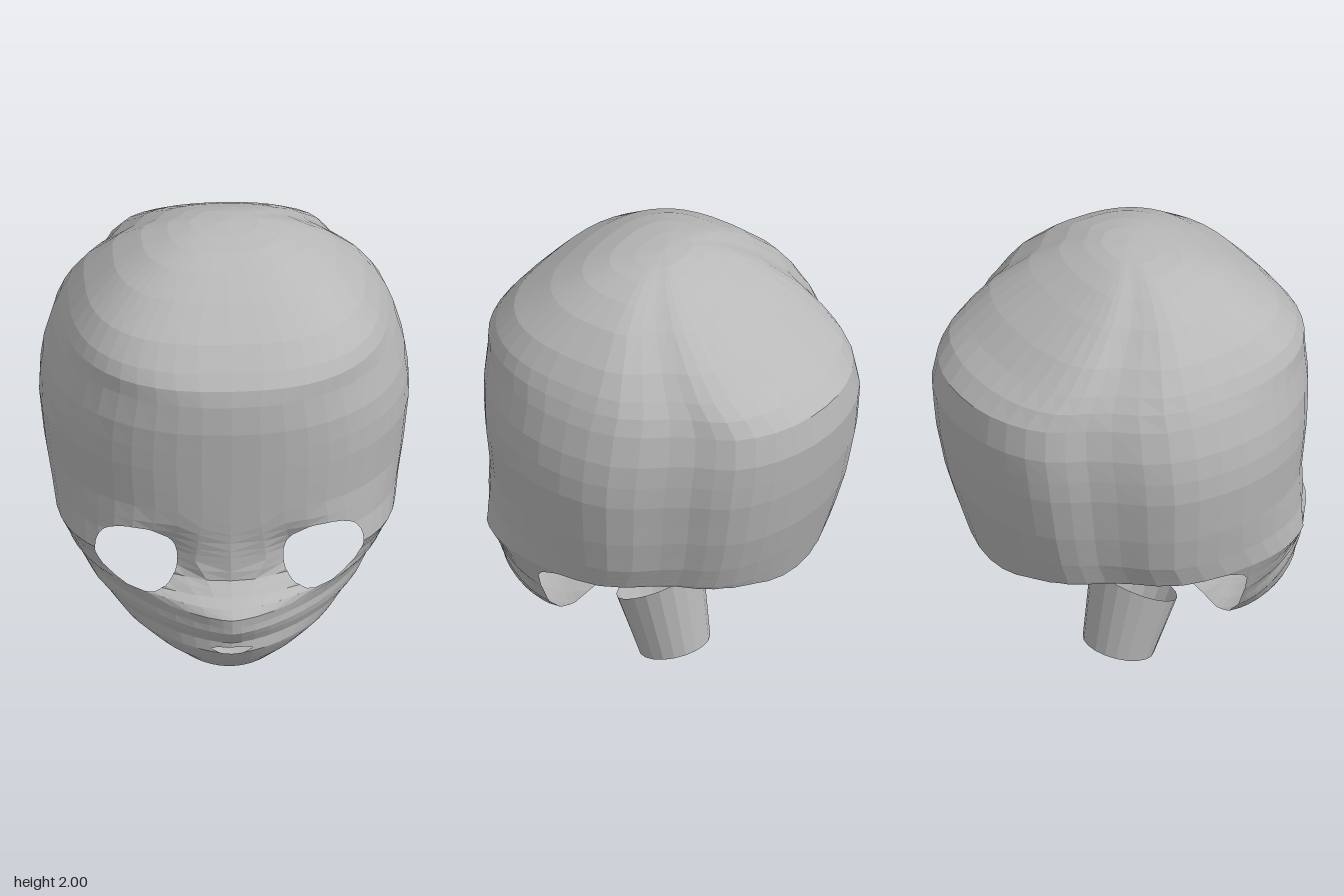
import * as THREE from 'three';

// Profiles of the head as [height, value], from the chin up
const halfWidth = [[0.2, 0], [0.203, 0.04], [0.215, 0.1], [0.25, 0.22], [0.3, 0.34], [0.36, 0.44],
  [0.47, 0.555], [0.6, 0.638], [0.75, 0.7], [1, 0.74], [1.2, 0.76]];
const frontZ = [[0.2, 0.5], [0.203, 0.58], [0.25, 0.66], [0.3, 0.71], [0.38, 0.77], [0.43, 0.768], [0.5, 0.815],
  [0.57, 0.822], [0.6, 0.785], [0.62, 0.725], [0.67, 0.67], [0.85, 0.67], [1.4, 0.71], [1.53, 0.705], [1.6, 0.69],
  [1.66, 0.645], [1.75, 0.565], [1.86, 0.42], [1.93, 0.3], [1.97, 0.2], [1.99, 0.1], [2, 0]];
const backZ = [[0.2, 0.5], [0.203, 0.43], [0.25, 0.22], [0.47, -0.3], [0.67, -0.66], [1, -0.76], [1.2, -0.8],
  [1.4, -0.825], [1.53, -0.805], [1.6, -0.735], [1.66, -0.645], [1.75, -0.53], [1.86, -0.36], [1.93, -0.24],
  [1.97, -0.15], [1.99, -0.09], [2, 0]];
const widestZ = [[0.2, 0.5], [0.3, 0.32], [0.43, 0.22], [0.6, 0.14], [0.85, 0]];
const frontRoundness = [[0.2, 2], [0.36, 1.65], [0.53, 1.45], [0.58, 1.5], [0.63, 1.9], [0.75, 2.6], [1, 2.2],
  [1.53, 2.25], [1.7, 2.8], [2, 2.6]];
const backRoundness = [[1.53, 2.05], [1.7, 2.4]];

// Lower edge of the back by z, and rear edge of the jaw by height
const rimHeight = [[-0.66, 0.67], [-0.62, 0.715], [-0.55, 0.735], [0.03, 0.75], [0.12, 0.73], [0.17, 0.68]];
const jawRim = [[0.2, 0.36], [0.23, 0.3], [0.3, 0.24], [0.42, 0.2], [0.68, 0.17]];

// Heights of the facet rows, closer together at the eyes and mouth
const rowHeights = [2, 1.99, 1.97, 1.93, 1.86, 1.75, 1.66, 1.6, 1.53, 1.4, 1.3, 1.2, 1.1, 1, 0.93, 0.89,
  0.85, 0.81, 0.78, 0.75, 0.71, 0.67, 0.645, 0.62, 0.6, 0.57, 0.53, 0.5, 0.47, 0.43, 0.41, 0.395, 0.38,
  0.36, 0.33, 0.3, 0.25, 0.215, 0.203, 0.2];

// Linear interpolation in a profile
function lookup(profile, t) {
  const i = profile.findIndex((p) => t <= p[0]);
  if (i < 0) return profile[profile.length - 1][1];
  if (i === 0) return profile[0][1];
  const [t0, v0] = profile[i - 1], [t1, v1] = profile[i];
  return v0 + ((v1 - v0) * (t - t0)) / (t1 - t0);
}

// Half width: profile for the face, rounded dome above
function widthAt(y) {
  if (y <= 1.2) return lookup(halfWidth, y);
  return 0.76 * (1 - ((y - 1.2) / 0.8) ** 2.15) ** (1 / 2.15);
}

// One point of the head skin; angle 0 is the front, growing toward +x
function skinPoint(y, angle) {
  const s = Math.sin(angle), c = Math.cos(angle);
  const e = 2 / lookup(c >= 0 ? frontRoundness : backRoundness, y);
  const mid = lookup(widestZ, y), end = lookup(c >= 0 ? frontZ : backZ, y);
  const depth = Math.abs(c) ** e;
  let x = Math.sign(s) * widthAt(y) * Math.abs(s) ** e;
  let z = mid + (end - mid) * depth;
  // Shallow eye sockets in front, flattened flanks behind
  if (c > 0) z -= 0.075 * Math.exp(-((Math.abs(x) - 0.26) ** 2 / 0.012 + (y - 0.76) ** 2 / 0.014));
  else x *= 1 - 0.13 * Math.exp(-(((depth - 0.6) / 0.2) ** 2));
  return [x, y, z];
}

// Positive where skin is kept: open underside, eyes, mouth
const openings = [
  ([, y, z]) => Math.max(y - lookup(rimHeight, z), z - lookup(jawRim, y)),
  ([x, y, z]) => (z < 0.2 ? 1
    : Math.abs((Math.abs(x) - 0.385) / 0.167) ** 2.3 + Math.abs((y - 0.745) / 0.147) ** 2.3 - 1),
  ([x, y, z]) => (z < 0.4 ? 1 : Math.hypot(x / 0.085, (y - 0.393) / 0.016) - 1),
];

// Trim a polygon along the zero line of a function
function trim(poly, f) {
  const out = [];
  poly.forEach((a, i) => {
    const b = poly[(i + 1) % poly.length];
    const keepA = f(a) >= 0, keepB = f(b) >= 0;
    if (keepA) out.push(a);
    if (keepA === keepB) return;
    const at = (k) => a.map((v, j) => v + (b[j] - v) * k);
    let lo = 0, hi = 1;
    for (let n = 0; n < 16; n++) {
      const m = (lo + hi) / 2;
      if ((f(at(m)) >= 0) === keepA) lo = m; else hi = m;
    }
    out.push(at(lo));
  });
  return out;
}

function headGeometry() {
  const columns = 48, last = rowHeights.length - 1;
  const grid = rowHeights.map((y) => Array.from({ length: columns + 1 },
    (_, i) => skinPoint(y, (i / columns) * Math.PI * 2 - Math.PI)));
  const positions = [];
  const addTriangle = (...triangle) => {
    const poly = openings.reduce(trim, triangle);
    for (let k = 1; k < poly.length - 1; k++) positions.push(...poly[0], ...poly[k], ...poly[k + 1]);
  };
  for (let r = 0; r < last; r++) {
    for (let i = 0; i < columns; i++) {
      const a = grid[r][i], b = grid[r + 1][i], c = grid[r + 1][i + 1], d = grid[r][i + 1];
      // Diagonals mirror left and right; rows at the two poles need one triangle
      const rightHalf = i < columns / 2;
      if (r < last - 1) addTriangle(rightHalf ? a : d, b, c);
      if (r > 0) addTriangle(a, rightHalf ? c : b, d);
    }
  }
  const geometry = new THREE.BufferGeometry();
  geometry.setAttribute('position', new THREE.Float32BufferAttribute(positions, 3));
  geometry.computeVertexNormals();
  return geometry;
}

// Open tapered tube with slanted ends
function neckGeometry() {
  const geometry = new THREE.CylinderGeometry(1, 1, 1, 20, 1, true);
  const p = geometry.attributes.position;
  for (let i = 0; i < p.count; i++) {
    const x = p.getX(i), z = p.getZ(i);
    if (p.getY(i) > 0) p.setXYZ(i, x * 0.185, 0.335 - z * 0.095, 0.03 + z * 0.175);
    else p.setXYZ(i, x * 0.15, 0.04 - z * 0.04, -0.045 + z * 0.145);
  }
  geometry.computeVertexNormals();
  return geometry;
}

export function createModel() {
  const group = new THREE.Group();
  const grey = new THREE.MeshStandardMaterial({ color: 0xb8b8b8, flatShading: true, side: THREE.DoubleSide });
  grey.name = 'grey';
  const add = (name, geometry) => {
    const mesh = new THREE.Mesh(geometry, grey);
    mesh.name = name;
    group.add(mesh);
  };
  add('headShell', headGeometry());
  add('neck', neckGeometry());
  return group;
}
